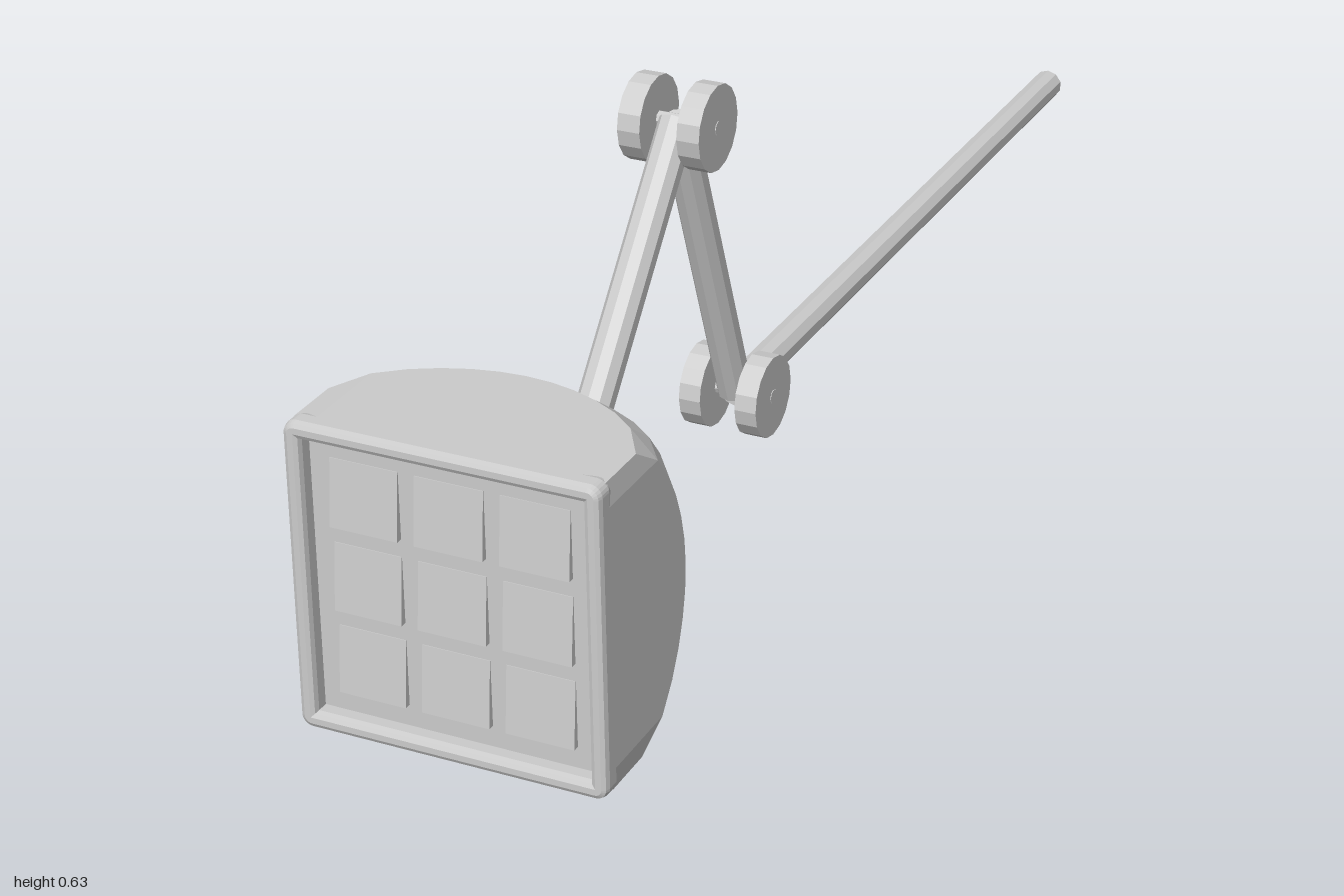
import * as THREE from 'three';

const grey = new THREE.MeshStandardMaterial({ color: 0xcccccc, flatShading: true });
const HALF = 0.205; // half width of the square head
const PANEL_Z = 0.976; // recessed panel

function add(parent, name, geometry) {
  const mesh = new THREE.Mesh(geometry, grey);
  mesh.name = name;
  parent.add(mesh);
  return mesh;
}

// Square block whose back bulges out into a dome
function housingGeometry() {
  const geo = new THREE.BoxGeometry(2, 2, 1, 12, 12, 4);
  const p = geo.attributes.position;
  for (let i = 0; i < p.count; i++) {
    const u = p.getX(i), v = p.getY(i), t = p.getZ(i) + 0.5;
    const back = 0.67 + 0.09 * (u * u + v * v) + 0.025 * (u ** 8 + v ** 8);
    const corner = Math.abs(u * v) > 0.99 ? 0.98 : 1;
    p.setXYZ(i, u * HALF * corner, HALF + v * HALF * corner, THREE.MathUtils.lerp(back, PANEL_Z, t));
  }
  geo.computeVertexNormals();
  return geo;
}

// Bevelled rim around the panel
function rimGeometry() {
  const h = 0.198, r = 0.009, k = h - r, q = 0.19;
  const shape = new THREE.Shape();
  [[k, k], [-k, k], [-k, -k], [k, -k]].forEach(([x, y], i) =>
    shape.absarc(x, y, r, i * Math.PI / 2, (i + 1) * Math.PI / 2, false));
  const hole = new THREE.Path();
  hole.moveTo(-q, -q).lineTo(-q, q).lineTo(q, q).lineTo(q, -q).closePath();
  shape.holes.push(hole);
  return new THREE.ExtrudeGeometry(shape, {
    depth: 0.016, bevelEnabled: true, bevelSize: 0.007, bevelThickness: 0.009,
    bevelSegments: 2, curveSegments: 3,
  });
}

// Wedge tile: nearly flush at the top, raised at the bottom
function tileGeometry() {
  const geo = new THREE.BoxGeometry(0.09, 0.088, 0.01);
  const p = geo.attributes.position;
  for (let i = 0; i < p.count; i++) {
    if (p.getZ(i) > 0) p.setZ(i, p.getY(i) > 0 ? 0.001 : 0.009);
  }
  geo.computeVertexNormals();
  return geo;
}

// Straight bar between two points [y, z] in the centre plane
function bar(parent, name, [y0, z0], [y1, z1], radius) {
  const a = new THREE.Vector3(0, y0, z0), b = new THREE.Vector3(0, y1, z1);
  const dir = b.clone().sub(a);
  const mesh = add(parent, name, new THREE.CylinderGeometry(radius, radius, dir.length(), 10));
  mesh.position.copy(a).add(b).multiplyScalar(0.5);
  mesh.quaternion.setFromUnitVectors(new THREE.Vector3(0, 1, 0), dir.normalize());
}

// Hinge: two discs with a pin through them
function hinge(parent, name, [y, z]) {
  const group = new THREE.Group();
  group.name = name;
  group.position.set(0, y, z);
  for (const side of [-1, 1]) {
    const disc = add(group, side > 0 ? 'leftDisc' : 'rightDisc', new THREE.CylinderGeometry(0.057, 0.057, 0.031, 16));
    disc.rotation.z = Math.PI / 2;
    disc.position.x = side * 0.041;
  }
  add(group, 'pin', new THREE.CylinderGeometry(0.01, 0.01, 0.115, 8)).rotation.z = Math.PI / 2;
  parent.add(group);
}

export function createModel() {
  const model = new THREE.Group();
  model.name = 'articulatedPanel';

  // Head
  const head = new THREE.Group();
  head.name = 'head';
  model.add(head);
  add(head, 'housing', housingGeometry());
  add(head, 'rim', rimGeometry()).position.set(0, HALF, 0.975);
  const tile = tileGeometry();
  for (let row = -1; row <= 1; row++) {
    for (let col = -1; col <= 1; col++) {
      add(head, 'tile', tile).position.set(col * 0.1115, 0.206 + row * 0.1115, PANEL_Z);
    }
  }

  // Folding arm
  const headJoint = [0.207, 0.687], elbow = [0.578, 0.372], rodJoint = [0.126, 0.209];
  hinge(model, 'headHinge', headJoint);
  hinge(model, 'elbowHinge', elbow);
  hinge(model, 'rodHinge', rodJoint);
  bar(model, 'upperArm', headJoint, elbow, 0.024);
  bar(model, 'lowerArm', elbow, rodJoint, 0.024);
  bar(model, 'rearRod', [0.123, 0.209], [0.123, -1], 0.023);

  return model;
}
